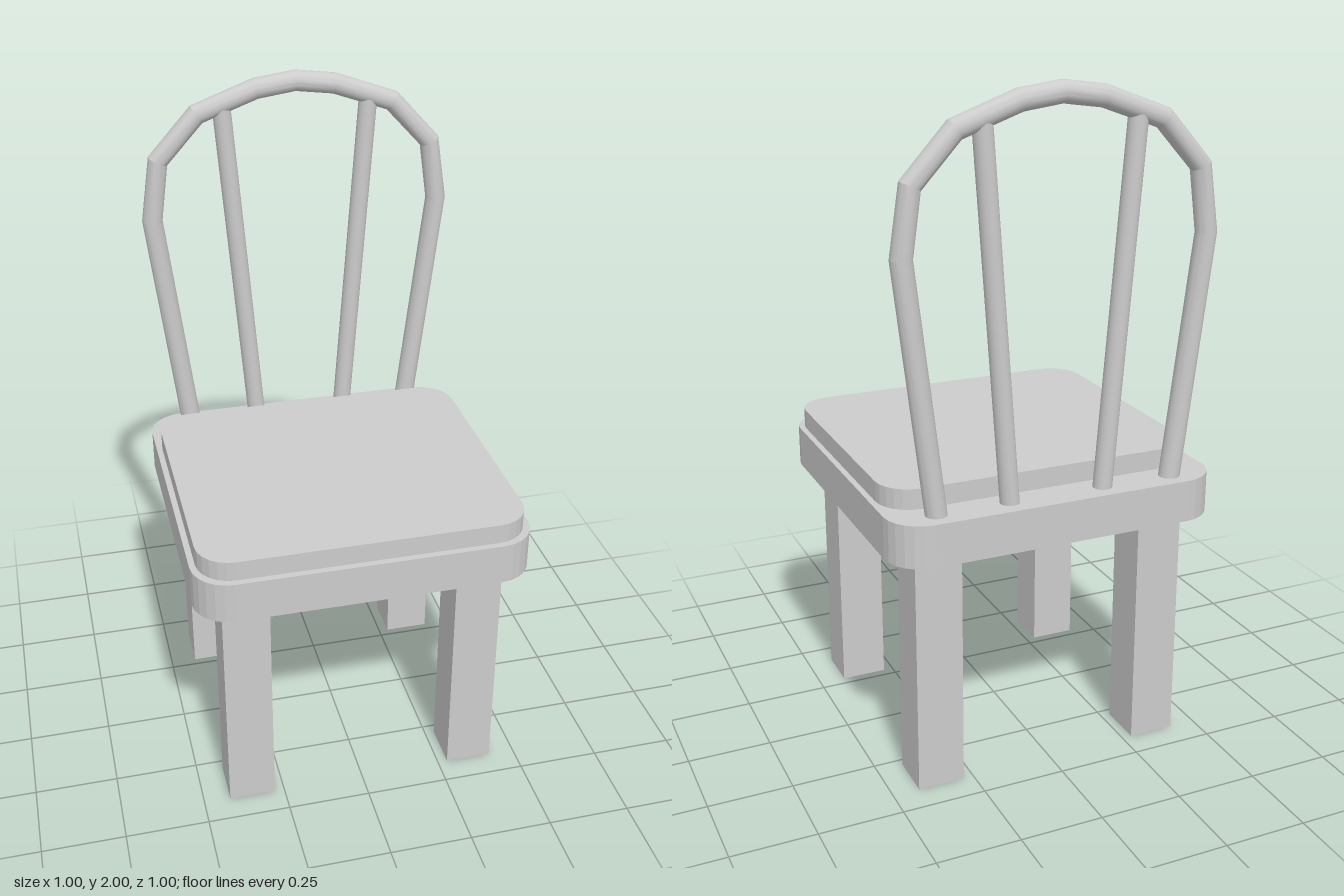
import * as THREE from 'three';
import { toCreasedNormals } from 'three/addons/utils/BufferGeometryUtils.js';

const material = new THREE.MeshStandardMaterial({ color: 0xcccccc });
const BACK_Z = -0.435;

function add(group, name, geometry) {
  const mesh = new THREE.Mesh(geometry, material);
  mesh.name = name;
  group.add(mesh);
  return mesh;
}

// Horizontal slab with faceted round corners, base at y = 0
function slab(width, depth, height, r) {
  const x = width / 2, y = depth / 2;
  const s = new THREE.Shape();
  s.moveTo(x, y - r);
  s.absarc(x - r, y - r, r, 0, Math.PI / 2);
  s.absarc(-x + r, y - r, r, Math.PI / 2, Math.PI);
  s.absarc(-x + r, -y + r, r, Math.PI, Math.PI * 1.5);
  s.absarc(x - r, -y + r, r, Math.PI * 1.5, Math.PI * 2);
  return new THREE.ExtrudeGeometry(s, { depth: height, bevelEnabled: false, curveSegments: 3 })
    .rotateX(-Math.PI / 2);
}

// Angular path whose tube rings fall exactly on the corner points
class BentPath extends THREE.Curve {
  constructor(points) {
    super();
    this.points = points;
  }
  getPoint(t, target = new THREE.Vector3()) {
    const n = this.points.length - 1;
    const i = Math.min(Math.floor(t * n + 1e-6), n - 1);
    return target.lerpVectors(this.points[i], this.points[i + 1], t * n - i);
  }
  getPointAt(t, target) {
    return this.getPoint(t, target);
  }
  getTangentAt(t, target = new THREE.Vector3()) {
    const p = this.points, n = p.length - 1, i = Math.round(t * n);
    target.set(0, 0, 0);
    if (i > 0) target.add(p[i].clone().sub(p[i - 1]).normalize());
    if (i < n) target.add(p[i + 1].clone().sub(p[i]).normalize());
    return target.normalize();
  }
}

export function createModel() {
  const chair = new THREE.Group();
  chair.name = 'chair';

  // Seat and cushion
  add(chair, 'seat', slab(1, 1, 0.125, 0.11)).position.y = 0.735;
  add(chair, 'cushion', slab(0.965, 0.86, 0.06, 0.1)).position.set(0, 0.86, 0.05);

  // Four square legs
  for (const x of [-0.35, 0.35]) {
    for (const z of [-0.345, 0.35]) {
      add(chair, (z > 0 ? 'front' : 'back') + (x > 0 ? 'Left' : 'Right') + 'Leg',
        new THREE.BoxGeometry(0.14, 0.735, 0.14)).position.set(x, 0.3675, z);
    }
  }

  // Bent hoop of the backrest: one half, mirrored
  const half = [[0.362, 0.85], [0.449, 1.57], [0.422, 1.755], [0.3, 1.888], [0.12, 1.953]];
  const points = [...half, [0, 1.969], ...half.map(([x, y]) => [-x, y]).reverse()]
    .map(([x, y]) => new THREE.Vector3(x, y, BACK_Z));
  const hoop = new THREE.TubeGeometry(new BentPath(points), points.length - 1, 0.031, 24);
  add(chair, 'backHoop', toCreasedNormals(hoop, 0.3));

  // Two leaning spindles inside the hoop
  for (const side of [-1, 1]) {
    const a = new THREE.Vector3(side * 0.144, 0.85, BACK_Z);
    const b = new THREE.Vector3(side * 0.225, 1.91, BACK_Z);
    const spindle = add(chair, side > 0 ? 'leftSpindle' : 'rightSpindle',
      new THREE.CylinderGeometry(0.028, 0.028, a.distanceTo(b), 24));
    spindle.position.lerpVectors(a, b, 0.5);
    spindle.quaternion.setFromUnitVectors(new THREE.Vector3(0, 1, 0), b.sub(a).normalize());
  }

  return chair;
}
